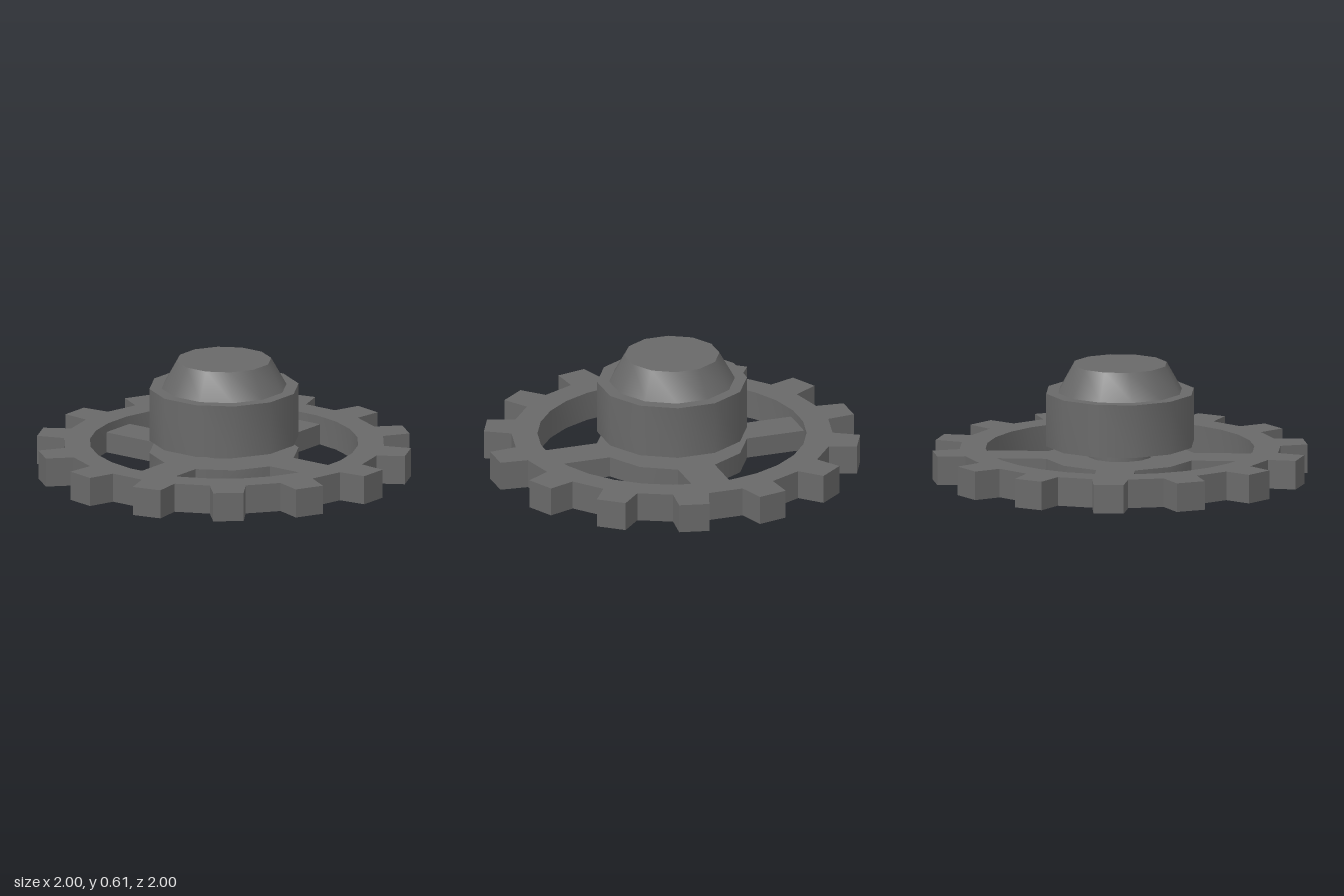
import * as THREE from 'three';
import { toCreasedNormals } from 'three/addons/utils/BufferGeometryUtils.js';

const TEETH = 14;
const HUB_R = 0.4, WEB_Y = 0.11, BORE_R = 0.17;
const RIM_H = 0.155, RIM_IN = 0.715, RIM_OUT = 0.853;
const CREASE = 0.62;

const polar = (r, a) => new THREE.Vector2(r * Math.cos(a), r * Math.sin(a));
const ring = (r, n) => Array.from({ length: n }, (_, i) => polar(r, (i / n) * Math.PI * 2));

export function createModel() {
  const group = new THREE.Group();
  const solid = new THREE.MeshStandardMaterial({ color: 0x696969 });
  const skin = new THREE.MeshStandardMaterial({ color: 0x696969, side: THREE.DoubleSide });
  const add = (name, geometry, material) => {
    const mesh = new THREE.Mesh(toCreasedNormals(geometry, CREASE), material);
    mesh.name = name;
    group.add(mesh);
  };

  // Toothed rim: each tooth stands on every other side of a 28-sided ring
  const step = Math.PI / TEETH;
  const outline = [];
  for (let i = 0; i < TEETH; i++) {
    const a = i * 2 * step;
    outline.push(
      polar(RIM_OUT, a), polar(1, a + step * 0.14),
      polar(1, a + step * 0.86), polar(RIM_OUT, a + step)
    );
  }
  const rimShape = new THREE.Shape(outline);
  rimShape.holes.push(new THREE.Path(ring(RIM_IN, TEETH * 2)));
  const rim = new THREE.ExtrudeGeometry(rimShape, { depth: RIM_H, bevelEnabled: false });
  add('toothedRim', rim.rotateX(-Math.PI / 2), solid);

  // Hub and spoke contour: four sides of a 12-gon are drawn out to the rim
  const hub = ring(HUB_R, 12);
  const contour = [];
  const openEnds = new Set();
  hub.forEach((p, i) => {
    contour.push(p);
    if (i % 3 !== 1) return;
    const dir = polar(1, (i + 0.5) * Math.PI / 6);
    const reach = 0.709 - HUB_R * Math.cos(Math.PI / 12);
    openEnds.add(contour.length);
    contour.push(
      p.clone().addScaledVector(dir, reach),
      hub[(i + 1) % 12].clone().addScaledVector(dir, reach)
    );
  });

  // Web plate with a bore in the middle
  const webShape = new THREE.Shape(contour);
  webShape.holes.push(new THREE.Path(ring(BORE_R, 12)));
  const web = new THREE.ShapeGeometry(webShape);
  add('hubAndSpokePlate', web.rotateX(-Math.PI / 2).translate(0, WEB_Y, 0), skin);

  // Side walls hanging from the plate, open underneath and at the rim
  const walls = [];
  contour.forEach((a, i) => {
    if (openEnds.has(i)) return;
    const b = contour[(i + 1) % contour.length];
    const a0 = [a.x, 0, -a.y], a1 = [a.x, WEB_Y, -a.y];
    const b0 = [b.x, 0, -b.y], b1 = [b.x, WEB_Y, -b.y];
    walls.push(...a0, ...b0, ...b1, ...a0, ...b1, ...a1);
  });
  const wallGeometry = new THREE.BufferGeometry();
  wallGeometry.setAttribute('position', new THREE.Float32BufferAttribute(walls, 3));
  add('hubAndSpokeWalls', wallGeometry, skin);

  // Hollow neck, drum and tapered cap as one turned skin
  const profile = [
    [BORE_R, WEB_Y], [BORE_R, 0.178], [HUB_R, 0.178], [HUB_R, 0.463],
    [0.335, 0.463], [0.253, 0.61], [0, 0.61],
  ].map(([r, y]) => new THREE.Vector2(r, y));
  add('drumAndCap', new THREE.LatheGeometry(profile, 12), skin);

  return group;
}
